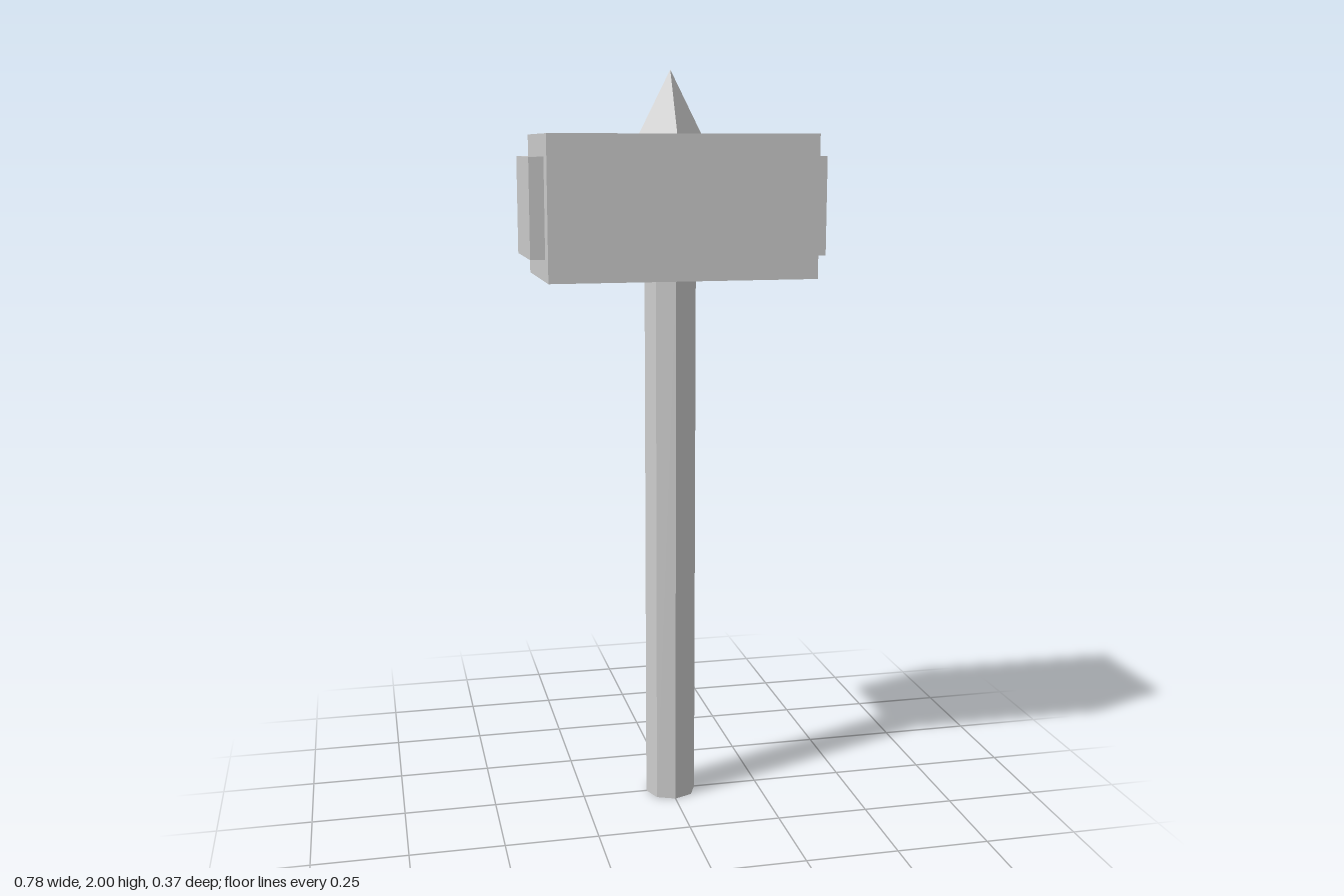
import * as THREE from 'three';

export function createModel() {
  const model = new THREE.Group();
  model.name = 'warHammer';

  const grey = new THREE.MeshStandardMaterial({ color: 0xcccccc, flatShading: true });
  grey.name = 'lightGrey';

  const add = (name, geometry, x, y) => {
    const mesh = new THREE.Mesh(geometry, grey);
    mesh.name = name;
    mesh.position.set(x, y, 0);
    model.add(mesh);
  };

  const headBottom = 1.467, headTop = 1.836;
  const headMiddle = (headBottom + headTop) / 2;

  // Octagonal handle, standing on the ground
  add('handle', new THREE.CylinderGeometry(0.07, 0.07, headBottom, 8), 0, headBottom / 2);

  // Block head
  add('head', new THREE.BoxGeometry(0.704, headTop - headBottom, 0.369), 0, headMiddle);

  // Raised striking plate on each end of the head
  for (const [name, side] of [['leftStrikingPlate', 1], ['rightStrikingPlate', -1]]) {
    add(name, new THREE.BoxGeometry(0.038, 0.256, 0.26), side * 0.371, headMiddle);
  }

  // Four-sided spike on top
  const spikeHeight = 2 - headTop;
  add('spike', new THREE.ConeGeometry(0.084, spikeHeight, 4), 0, headTop + spikeHeight / 2);

  return model;
}
